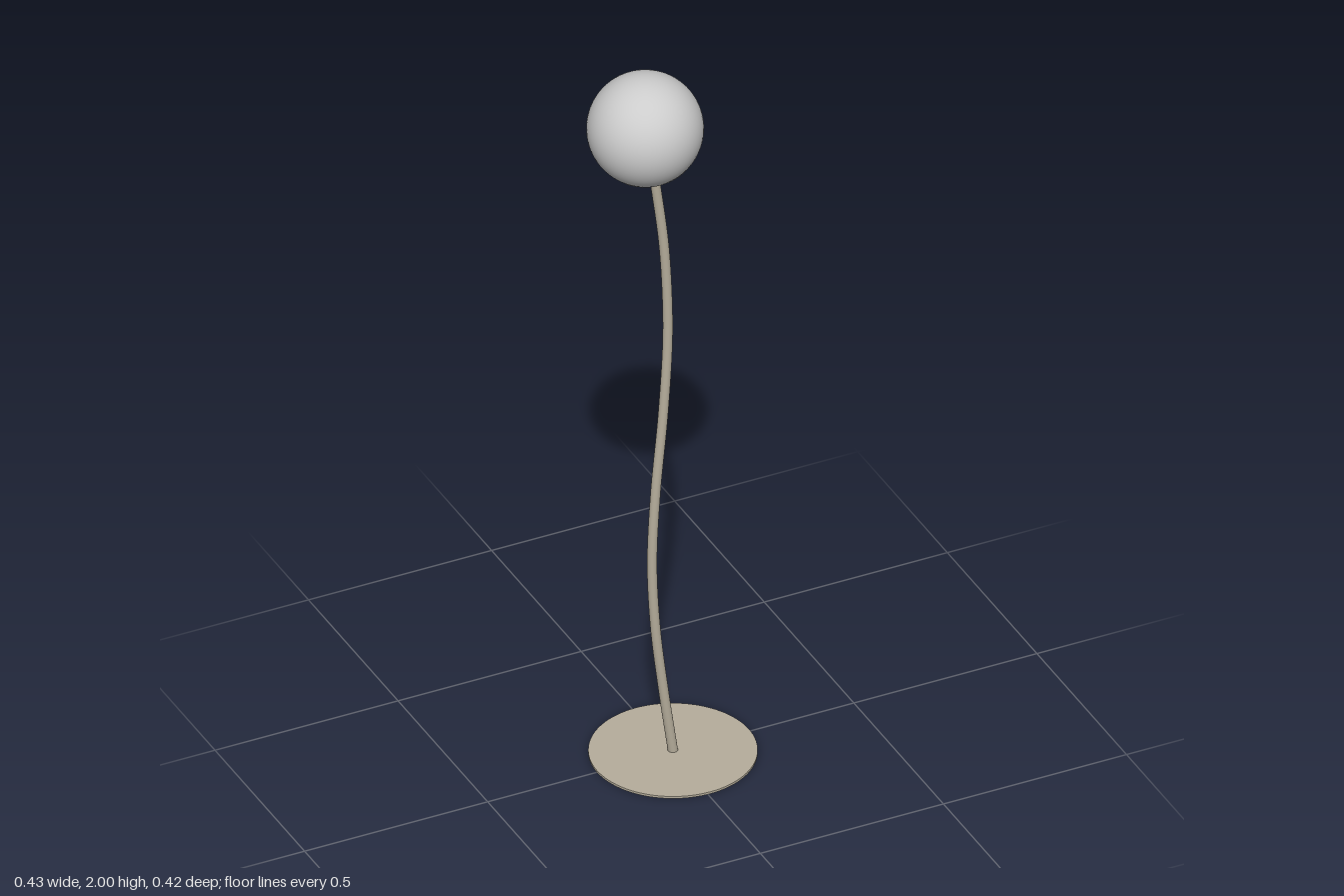
import * as THREE from 'three';

export function createModel() {
  const lamp = new THREE.Group();
  lamp.name = 'floorLamp';
  const metal = new THREE.MeshStandardMaterial({ color: 0xb5ad9b });
  const glass = new THREE.MeshStandardMaterial({ color: 0xcccccc });

  const add = (name, geometry, material, x, y) => {
    const mesh = new THREE.Mesh(geometry, material);
    mesh.name = name;
    mesh.position.set(x, y, 0);
    lamp.add(mesh);
    return mesh;
  };

  // Thin round foot plate
  add('base', new THREE.CylinderGeometry(0.208, 0.208, 0.006, 96), metal, 0.006, 0.003);

  // Gently S-curved stem, ending inside the globe
  const path = new THREE.CatmullRomCurve3([
    [0.006, 0.003], [-0.02, 0.19], [-0.042, 0.38], [-0.051, 0.57], [-0.042, 0.77],
    [-0.021, 1.0], [-0.009, 1.2], [-0.009, 1.32], [-0.019, 1.5], [-0.048, 1.73],
  ].map(([x, y]) => new THREE.Vector3(x, y, 0)));
  add('stem', new THREE.TubeGeometry(path, 96, 0.0125, 20), metal, 0, 0);

  // Globe shade
  const radius = 0.1445;
  add('globe', new THREE.SphereGeometry(radius, 64, 48), glass, -0.07, 1.8555);

  // Shallow holder hugging the globe underside, tilted to follow the stem
  const holderAngle = 0.76;
  const holder = add('globeHolder',
    new THREE.SphereGeometry(radius + 0.0006, 64, 16, 0, Math.PI * 2, Math.PI - holderAngle, holderAngle),
    metal, -0.07, 1.8555);
  holder.rotation.z = 0.17;
  holder.material = metal.clone();
  holder.material.side = THREE.DoubleSide;

  return lamp;
}
